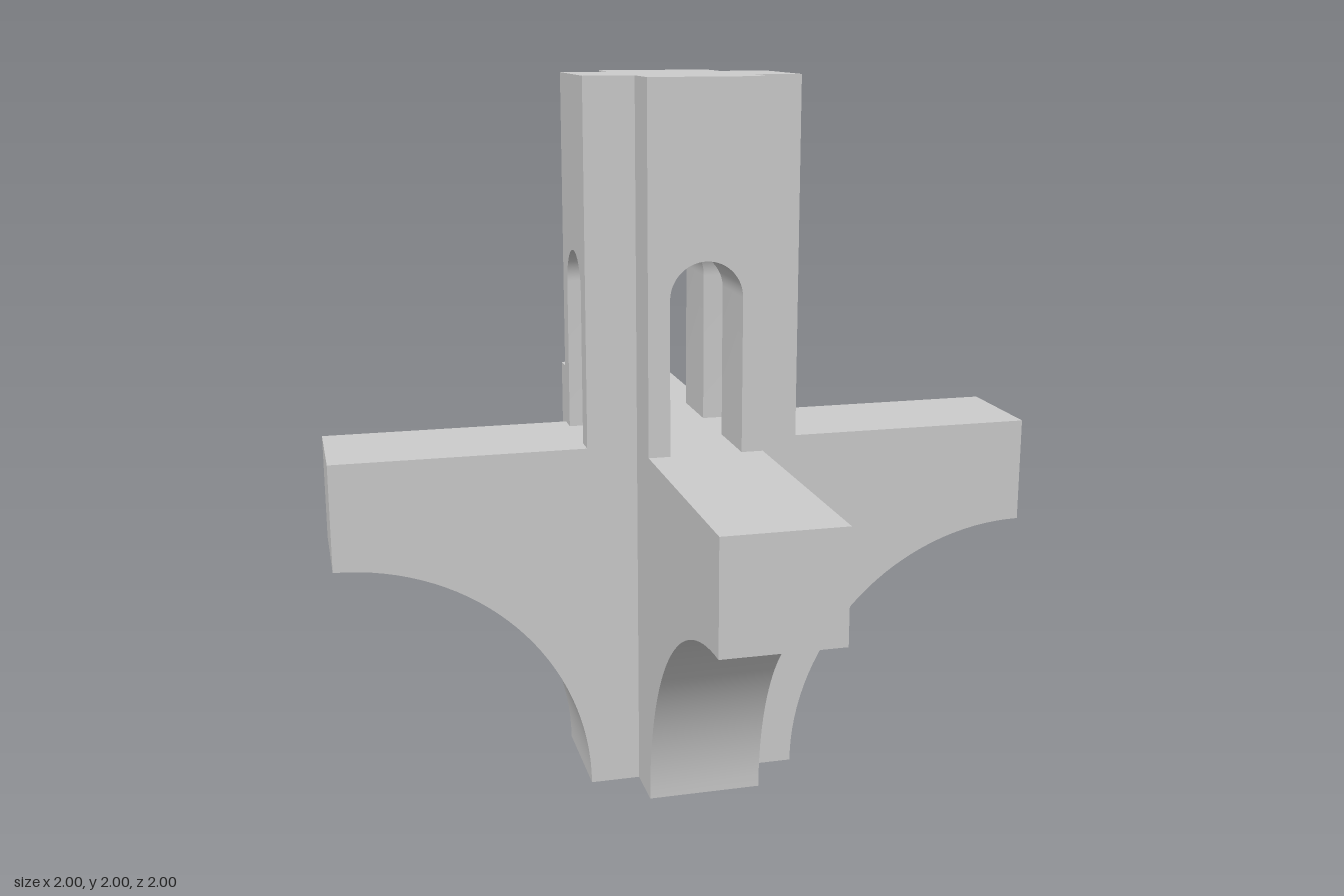
import * as THREE from 'three';
import { toCreasedNormals } from 'three/addons/utils/BufferGeometryUtils.js';

const W = 0.16;       // half thickness of the ribs
const CORE = 0.3;     // reach of the tower and foot
const DECK = 1;       // top of the arms
const TOP = 2;
const ARCH_R = 0.1, ARCH_Y = 1.425; // opening radius and spring height
const SEG = 32;

const material = new THREE.MeshStandardMaterial({ color: 0xcccccc });

function addMesh(parent, name, geometry) {
  const mesh = new THREE.Mesh(geometry, material);
  mesh.name = name;
  parent.add(mesh);
}

// Surface between two matching rows of [x, y, z] points
function strip(a, b) {
  const pos = [];
  for (let i = 0; i < a.length - 1; i++) {
    pos.push(...a[i], ...a[i + 1], ...b[i], ...a[i + 1], ...b[i + 1], ...b[i]);
  }
  const g = new THREE.BufferGeometry();
  g.setAttribute('position', new THREE.Float32BufferAttribute(pos, 3));
  return toCreasedNormals(g, 0.5);
}

const flat = (points) => new THREE.ShapeGeometry(new THREE.Shape(points.map(([x, y]) => new THREE.Vector2(x, y))));

// Horizontal plus-shaped face
function plus(halfWidth, reach, y, up) {
  const pts = [];
  for (let k = 0; k < 4; k++) {
    const c = Math.round(Math.cos(k * Math.PI / 2)), s = Math.round(Math.sin(k * Math.PI / 2));
    for (const [px, py] of [[reach, -halfWidth], [reach, halfWidth], [halfWidth, halfWidth]]) {
      pts.push([px * c - py * s, px * s + py * c]);
    }
  }
  return flat(pts).rotateX(up ? -Math.PI / 2 : Math.PI / 2).translate(0, y, 0);
}

// Concave quarter arc from the foot to the arm end, then over the deck
const armPath = [];
for (let i = 0; i <= SEG; i++) {
  const t = i / SEG * Math.PI / 2;
  armPath.push([1 - 0.7 * Math.cos(t), 0.7 * Math.sin(t)]);
}
armPath.push([1, DECK], [CORE, DECK]);

// Round-headed opening outline, left foot to right foot
const archPath = [[-ARCH_R, DECK]];
for (let i = 0; i <= SEG; i++) {
  const t = Math.PI * (1 - i / SEG);
  archPath.push([ARCH_R * Math.cos(t), ARCH_Y + ARCH_R * Math.sin(t)]);
}
archPath.push([ARCH_R, DECK]);

// One quarter of the pier, facing +x
function createRib() {
  const rib = new THREE.Group();
  rib.name = 'rib';

  // Arched underside, end and deck of the arm
  addMesh(rib, 'armSkin', strip(armPath.map(([x, y]) => [x, y, -W]), armPath.map(([x, y]) => [x, y, W])));

  // Side cheeks running from foot to tower top
  const cheek = [[W, 0], ...armPath, [CORE, TOP], [W, TOP]];
  addMesh(rib, 'leftCheek', flat(cheek).translate(0, 0, W));
  addMesh(rib, 'rightCheek', flat(cheek.map(([x, y]) => [-x, y])).rotateY(Math.PI).translate(0, 0, -W));

  // Tower wall around the opening
  const wall = [[-W, DECK], ...archPath, [W, DECK], [W, TOP], [-W, TOP]];
  addMesh(rib, 'towerWall', flat(wall).rotateY(Math.PI / 2).translate(CORE, 0, 0));

  // Passage lining, mitred to meet the crossing passage in a groin vault
  addMesh(rib, 'passageLining', strip(
    archPath.map(([z, y]) => [CORE, y, z]),
    archPath.map(([z, y]) => [Math.abs(z), y, z])));
  return rib;
}

export function createModel() {
  const model = new THREE.Group();
  model.name = 'crossPier';
  for (let k = 0; k < 4; k++) {
    const rib = createRib();
    rib.rotation.y = k * Math.PI / 2;
    model.add(rib);
  }
  addMesh(model, 'footBase', plus(W, CORE, 0, false));
  addMesh(model, 'passageFloor', plus(ARCH_R, CORE, DECK, true));
  addMesh(model, 'towerTop', plus(W, CORE, TOP, true));
  return model;
}
